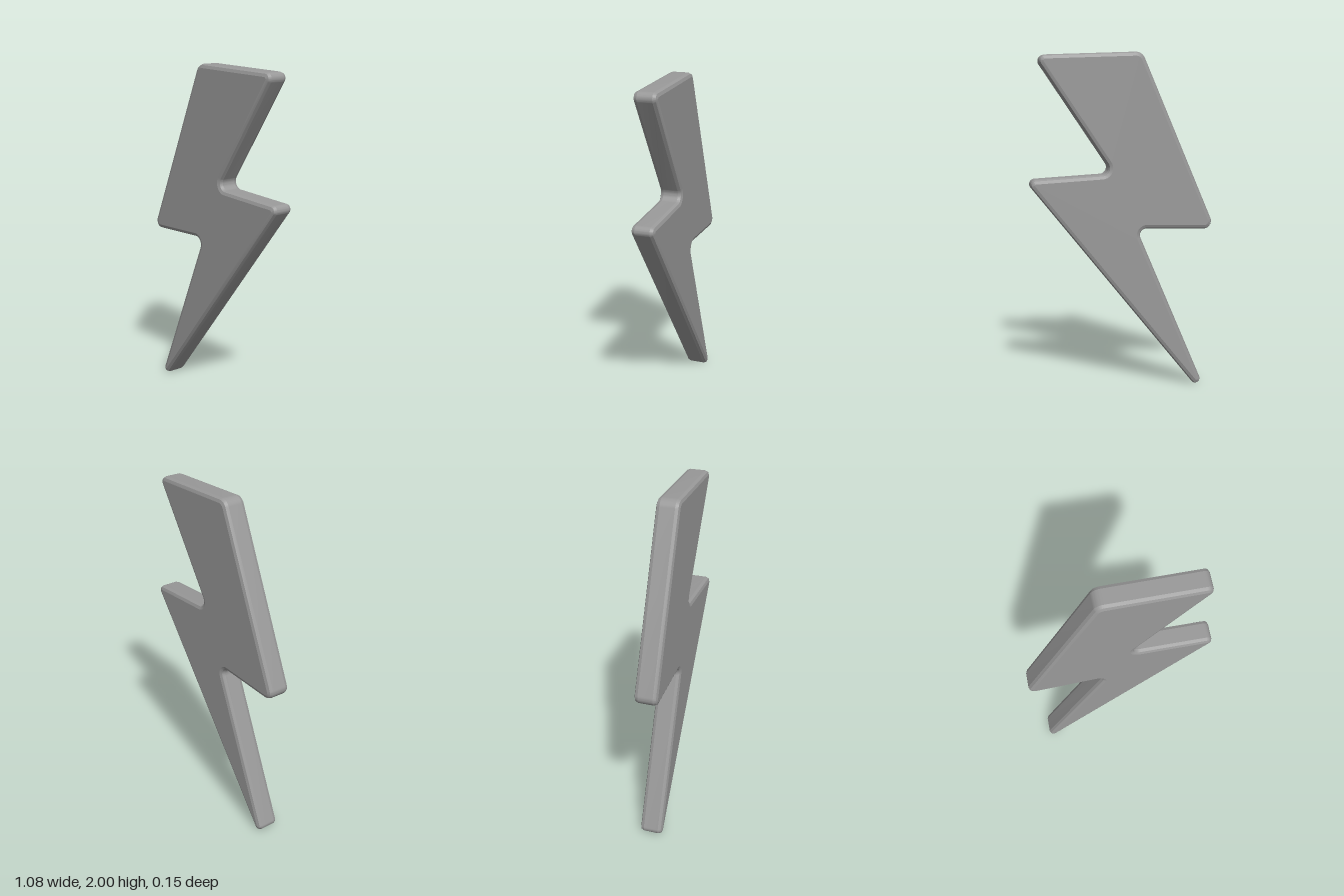
import * as THREE from 'three';
import { toCreasedNormals } from 'three/addons/utils/BufferGeometryUtils.js';

// Sharp corners of the bolt, counter-clockwise: x, y, fillet radius
const CORNERS = [
  [-0.117, 2.003, 0.06],
  [-0.568, 0.957, 0.045],
  [-0.085, 0.973, 0.04],
  [-0.563, -0.148, 0.028],
  [0.57, 1.268, 0.032],
  [0.05, 1.297, 0.04],
  [0.51, 1.98, 0.035],
];

// Replaces every corner with a true circular fillet
function filletedOutline(corners, steps) {
  const points = [];
  corners.forEach(([x, y, r], i) => {
    const n = corners.length;
    const p = new THREE.Vector2(x, y);
    const toPrev = new THREE.Vector2(...corners[(i + n - 1) % n].slice(0, 2)).sub(p).normalize();
    const toNext = new THREE.Vector2(...corners[(i + 1) % n].slice(0, 2)).sub(p).normalize();
    const half = Math.acos(toPrev.dot(toNext)) / 2;
    const centre = toPrev.clone().add(toNext).normalize().multiplyScalar(r / Math.sin(half)).add(p);
    const start = toPrev.clone().multiplyScalar(r / Math.tan(half)).add(p).sub(centre);
    const turn = Math.sign(toNext.cross(toPrev)) * (Math.PI - 2 * half);
    for (let k = 0; k <= steps; k++) {
      points.push(start.clone().rotateAround(new THREE.Vector2(), (turn * k) / steps).add(centre));
    }
  });
  return points;
}

export function createModel() {
  const group = new THREE.Group();
  group.name = 'lightningBolt';
  const grey = new THREE.MeshStandardMaterial({ color: 0x999999 });
  grey.name = 'grey';

  // Thick plate with softly bevelled rims
  const bevel = 0.024;
  const thickness = 0.136;
  const plate = new THREE.ExtrudeGeometry(new THREE.Shape(filletedOutline(CORNERS, 12)), {
    depth: thickness - 2 * bevel,
    bevelEnabled: true,
    bevelThickness: bevel,
    bevelSize: bevel,
    bevelOffset: -bevel,
    bevelSegments: 2,
  });
  plate.translate(0, 0, bevel - thickness / 2);

  // Slight lean of the plate from side to side
  const pos = plate.attributes.position;
  for (let i = 0; i < pos.count; i++) pos.setZ(i, pos.getZ(i) - 0.011 * pos.getX(i));

  const bolt = new THREE.Mesh(toCreasedNormals(plate, 0.24), grey);
  bolt.name = 'boltPlate';
  group.add(bolt);
  return group;
}
